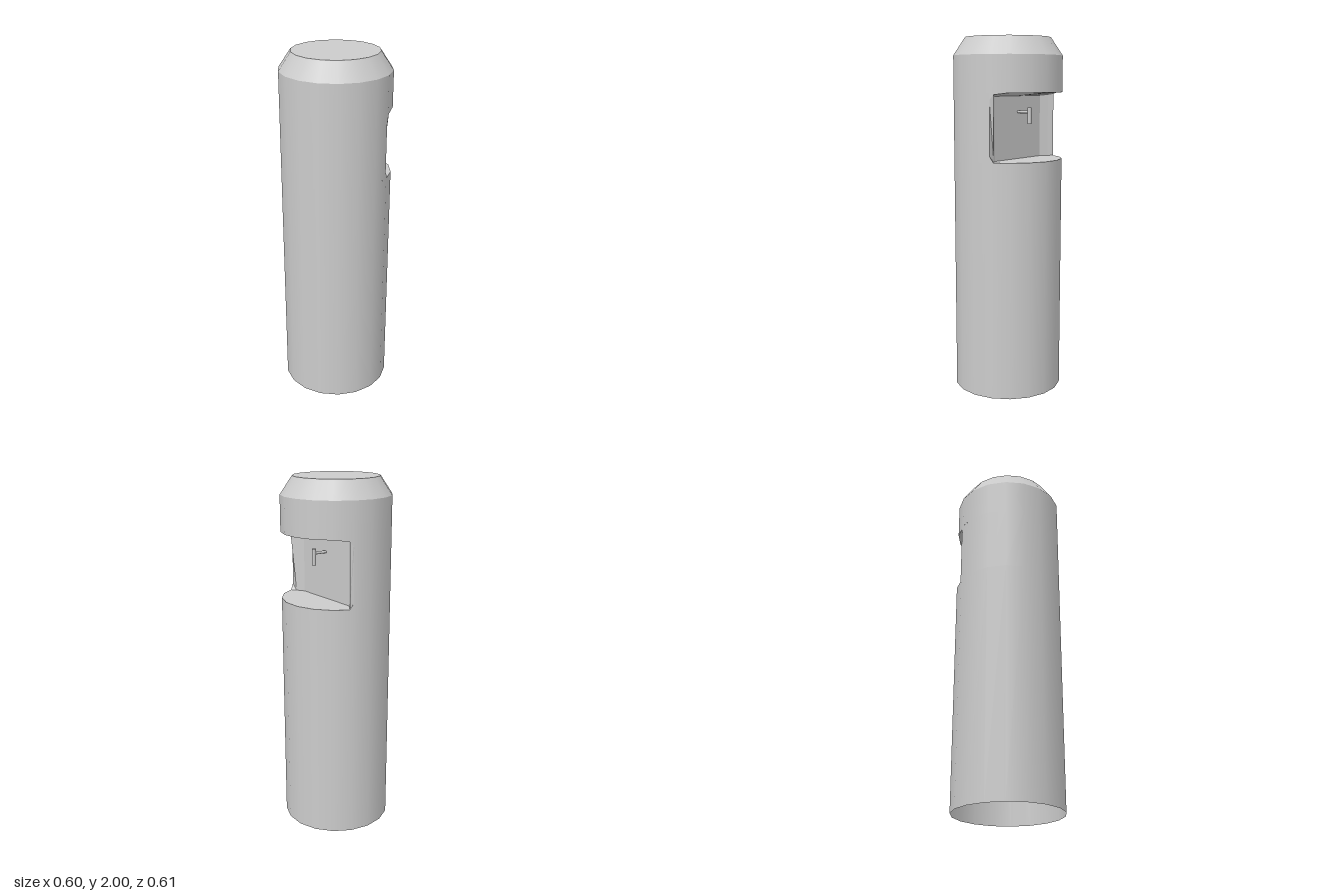
import * as THREE from 'three';

const SIDES = 18, R = 0.307, FLOOR = 1.33, ROOF = 1.7;

export function createModel() {
  const group = new THREE.Group();
  const mat = new THREE.MeshStandardMaterial({ color: 0xcccccc, side: THREE.DoubleSide });

  const add = (name, geo, x = 0, y = 0, z = 0) => {
    const mesh = new THREE.Mesh(geo, mat);
    mesh.name = name;
    mesh.position.set(x, y, z);
    group.add(mesh);
    return mesh;
  };
  // open round band between two heights
  const band = (name, y0, y1, r0, r1) =>
    add(name, new THREE.CylinderGeometry(r1, r0, y1 - y0, SIDES, 1, true), 0, (y0 + y1) / 2, 0);
  // corner of the round wall, in degrees from the front
  const corner = (deg) => {
    const a = THREE.MathUtils.degToRad(deg);
    return [R * Math.sin(a), R * Math.cos(a)];
  };
  // wall strip through columns [x, z, low, high], smooth around the axis
  const strip = (name, cols) => {
    const pos = [], nor = [], idx = [];
    cols.forEach(([x, z, lo, hi], i) => {
      const l = Math.hypot(x, z);
      pos.push(x, lo, z, x, hi, z);
      nor.push(x / l, 0, z / l, x / l, 0, z / l);
      if (i) {
        const a = 2 * i - 2;
        idx.push(a, a + 2, a + 3, a, a + 3, a + 1);
      }
    });
    const geo = new THREE.BufferGeometry();
    geo.setAttribute('position', new THREE.Float32BufferAttribute(pos, 3));
    geo.setAttribute('normal', new THREE.Float32BufferAttribute(nor, 3));
    geo.setIndex(idx);
    add(name, geo);
  };
  // flat-shaded fan from the first point
  const fan = (name, pts) => {
    const pos = [];
    for (let i = 1; i < pts.length - 1; i++) pos.push(...pts[0], ...pts[i], ...pts[i + 1]);
    const geo = new THREE.BufferGeometry();
    geo.setAttribute('position', new THREE.Float32BufferAttribute(pos, 3));
    geo.computeVertexNormals();
    add(name, geo);
  };

  // post: hollow shaft, head, bevel and lid
  band('shaft', 0, FLOOR, R, R);
  band('head', ROOF, 1.9, R, R);
  band('bevel', 1.9, 2, R, 0.24);
  const lid = add('lid', new THREE.CircleGeometry(0.24, SIDES), 0, 2, 0);
  lid.geometry.rotateZ(Math.PI / 2).rotateX(-Math.PI / 2);

  // wall behind the opening
  const back = [[0.1, -0.289, FLOOR, ROOF]];
  for (let d = 180; d <= 360; d += 20) back.push([...corner(d), FLOOR, ROOF]);
  back.push([0.1, 0.289, FLOOR, ROOF]);
  strip('backWall', back);

  // rim of the opening: [x, z, low edge, high edge]
  const rim = [
    [0.1, 0.289, 1.365, 1.66],
    [0.105, 0.2885, 1.356, 1.667],
    [0.12, 0.28, FLOOR, 1.69],
    [0.19, 0.239, FLOOR, ROOF],
  ];
  for (const s of [1, -1]) {
    const order = (cols) => (s > 0 ? cols : cols.reverse());
    strip('rimTop', order(rim.map(([x, z, , hi]) => [x, z * s, hi, ROOF])));
    strip('rimBottom', order(rim.slice(0, 3).map(([x, z, lo]) => [x, z * s, FLOOR, lo])));
  }

  // recess: back panel, slanted strips and side cheeks
  const Q = [0.073, 0.21], P = [0.1, 0.253], qTop = 1.68, pTop = 1.685;
  fan('recessPanel', [
    [Q[0], FLOOR, Q[1]], [Q[0], FLOOR, -Q[1]], [Q[0], qTop, -Q[1]], [Q[0], qTop, Q[1]],
  ]);
  for (const s of [1, -1]) {
    const turn = (pts) => (s > 0 ? pts : pts.reverse());
    fan('recessStrip', turn([
      [P[0], FLOOR, P[1] * s], [Q[0], FLOOR, Q[1] * s], [Q[0], qTop, Q[1] * s], [P[0], pTop, P[1] * s],
    ]));
    const [e, m, c] = rim;
    fan('recessCheek', turn([
      [P[0], FLOOR, P[1] * s], [P[0], pTop, P[1] * s], [c[0], c[3], c[1] * s], [m[0], m[3], m[1] * s],
      [e[0], e[3], e[1] * s], [e[0], e[2], e[1] * s], [m[0], m[2], m[1] * s], [c[0], c[2], c[1] * s],
    ]));
  }

  // recess floor and slightly rising roof share one outline
  const half = [[...Q, qTop], [...P, pTop], [0.12, 0.28, 1.69], [0.19, 0.239, ROOF]];
  const outline = [...half];
  for (let d = 40; d <= 140; d += 20) outline.push([...corner(d), ROOF]);
  outline.push(...half.map(([x, z, y]) => [x, -z, y]).reverse());
  fan('recessFloor', [[Q[0], FLOOR, 0], ...outline.map(([x, z]) => [x, FLOOR, z])]);
  fan('recessRoof', [[Q[0], qTop, 0], ...outline.map(([x, z, y]) => [x, y, z]).reverse()]);

  // tap handle: stem and upright bar
  add('handleStem', new THREE.CylinderGeometry(0.008, 0.008, 0.08, 8).rotateZ(Math.PI / 2), 0.11, 1.592, 0);
  add('handleBar', new THREE.CylinderGeometry(0.011, 0.011, 0.09, 8), 0.152, 1.572, 0);

  return group;
}
